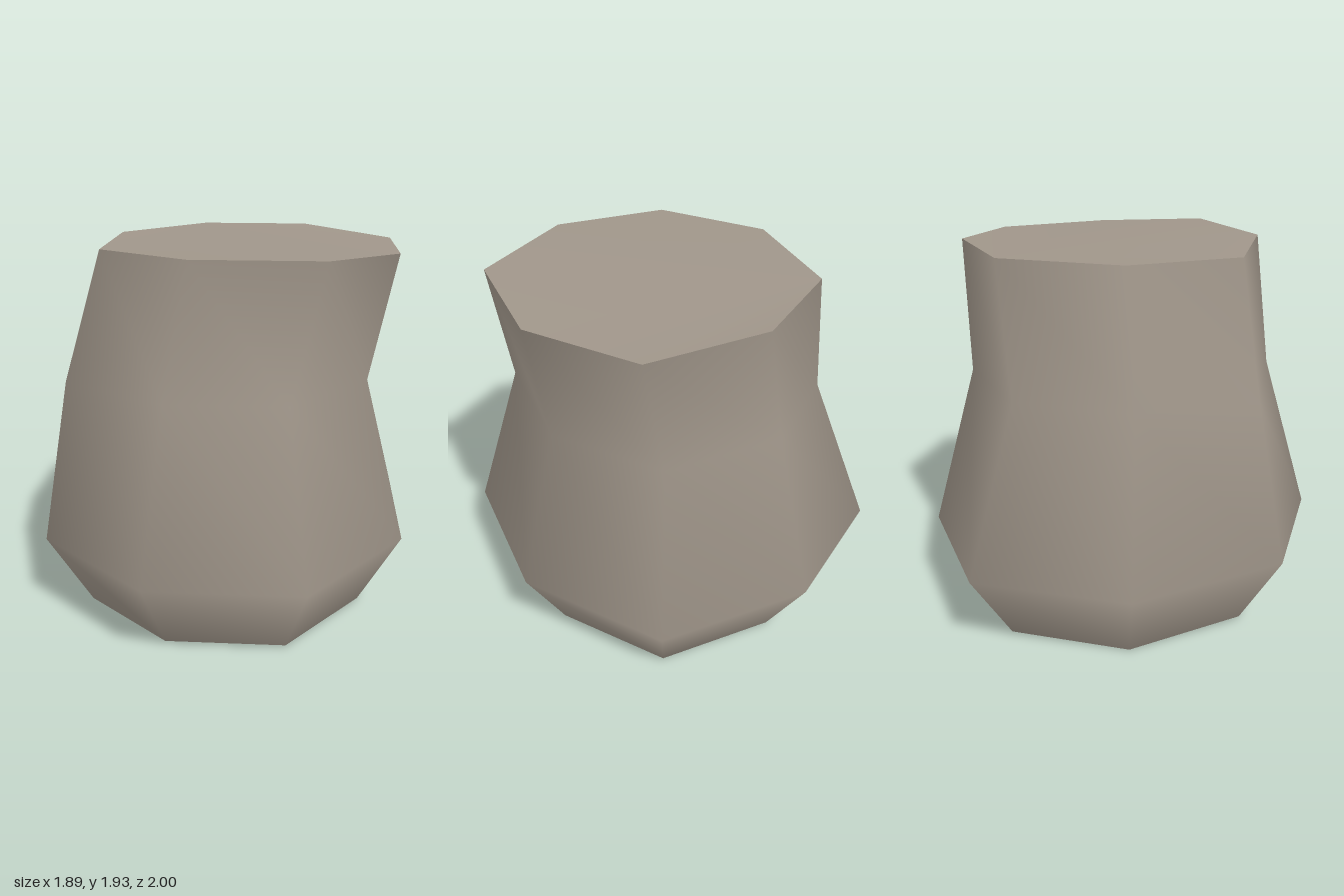
import * as THREE from 'three';

// Octagonal cross-sections as [x, y, z] corners, clockwise seen from above
const widest = [
  [-0.49, 0.42, -1.0], [0.27, 0.42, -0.99], [0.93, 0.42, -0.52], [0.945, 0.42, 0.3],
  [0.47, 0.42, 0.97], [-0.31, 0.42, 1.0], [-0.91, 0.42, 0.5], [-0.95, 0.41, -0.34],
];
const bottom = widest.map(([x, , z], i) => [x * 0.775, i === 7 ? 0 : 0.018, z * 0.77]);
const waist = [
  [-0.35, 1.26, -0.71], [0.21, 1.27, -0.76], [0.7, 1.26, -0.4], [0.73, 1.26, 0.22],
  [0.36, 1.26, 0.73], [-0.23, 1.26, 0.76], [-0.79, 1.25, 0.39], [-0.72, 1.26, -0.23],
];
const top = [
  [-0.21, 1.93, -0.725], [0.37, 1.93, -0.74], [0.845, 1.9, -0.38], [0.86, 1.9, 0.23],
  [0.52, 1.93, 0.715], [-0.11, 1.93, 0.735], [-0.59, 1.92, 0.38], [-0.605, 1.93, -0.23],
];

function buildGeometry(points, index) {
  const geometry = new THREE.BufferGeometry();
  geometry.setAttribute('position', new THREE.Float32BufferAttribute(points.flat(), 3));
  geometry.setIndex(index);
  geometry.computeVertexNormals();
  return geometry;
}

// Smooth skin joining one ring to the next
function loft(rings) {
  const n = rings[0].length;
  const index = [];
  for (let r = 0; r < rings.length - 1; r++) {
    for (let i = 0; i < n; i++) {
      const a = r * n + i, b = r * n + (i + 1) % n;
      index.push(a, a + n, b + n, a, b + n, b);
    }
  }
  return buildGeometry(rings.flat(), index);
}

// Separate cap, so that its rim stays sharp
function cap(ring, facesUp) {
  const index = [];
  for (let i = 1; i < ring.length - 1; i++) {
    index.push(0, ...(facesUp ? [i + 1, i] : [i, i + 1]));
  }
  return buildGeometry(ring, index);
}

export function createModel() {
  const group = new THREE.Group();
  group.name = 'stoneBlock';
  const stone = new THREE.MeshStandardMaterial({ color: 0xa0968a });
  stone.name = 'warmGreyStone';

  const add = (name, geometry) => {
    const mesh = new THREE.Mesh(geometry, stone);
    mesh.name = name;
    group.add(mesh);
  };
  add('body', loft([bottom, widest, waist, top]));
  add('topFace', cap(top, true));
  add('bottomFace', cap(bottom, false));
  return group;
}
